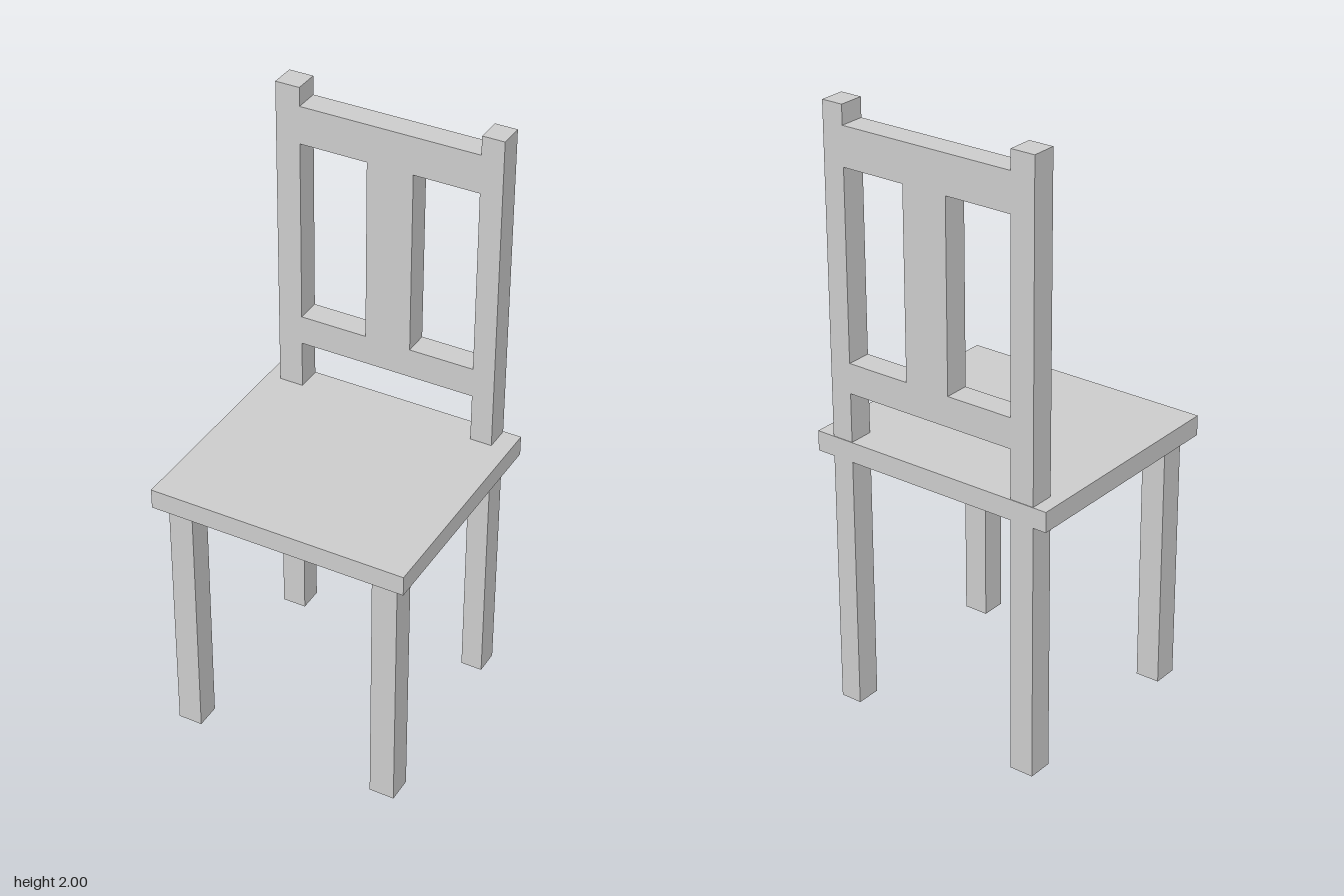
import * as THREE from 'three';

const material = new THREE.MeshStandardMaterial({ color: 0xcccccc, flatShading: true, side: THREE.DoubleSide });

// Box given by its limits on each axis
function box(name, [x0, x1], [y0, y1], [z0, z1], openBottom = false) {
  const geometry = new THREE.BoxGeometry(x1 - x0, y1 - y0, z1 - z0);
  geometry.translate((x0 + x1) / 2, (y0 + y1) / 2, (z0 + z1) / 2);
  if (openBottom) {
    // Drop the two triangles of the -y face
    const index = Array.from(geometry.index.array);
    index.splice(18, 6);
    geometry.setIndex(index);
    geometry.clearGroups();
  }
  const mesh = new THREE.Mesh(geometry, material);
  mesh.name = name;
  return mesh;
}

const points = (list) => list.map(([x, y]) => new THREE.Vector2(x, y));

export function createModel() {
  const chair = new THREE.Group();
  chair.name = 'chair';

  const seatBottom = 0.86, seatTop = 0.927;
  const backZ = [-0.392, -0.308], frontZ = [0.282, 0.367];
  const rightPost = [-0.385, -0.303], leftPost = [0.298, 0.371];

  chair.add(box('seat', [-0.432, 0.432], [seatBottom, seatTop], [-0.394, 0.394]));

  // Four hollow legs, the rear pair in line with the back posts
  const legs = [
    ['frontRightLeg', [-0.388, -0.306], frontZ],
    ['frontLeftLeg', [0.314, 0.398], frontZ],
    ['backRightLeg', rightPost, backZ],
    ['backLeftLeg', leftPost, backZ],
  ];
  for (const [name, x, z] of legs) chair.add(box(name, x, [0, seatBottom], z, true));

  // Backrest: posts, two rails and a centre slat cut from one board
  const [r0, r1] = rightPost, [l0, l1] = leftPost;
  const railLow = 1.09, openingLow = 1.19, openingHigh = 1.81, railHigh = 1.937;
  const outline = new THREE.Shape(points([
    [r0, seatTop], [r1, seatTop], [r1, railLow], [l0, railLow], [l0, seatTop], [l1, seatTop],
    [l1, 2], [l0, 2], [l0, railHigh], [r1, railHigh], [r1, 2], [r0, 2],
  ]));
  for (const [x0, x1] of [[r1, -0.075], [0.08, l0]]) {
    outline.holes.push(new THREE.Path(points([
      [x0, openingLow], [x0, openingHigh], [x1, openingHigh], [x1, openingLow],
    ])));
  }
  // Keep the openings a hair clear of the outline's inner corners
  const geometry = new THREE.ExtrudeGeometry(outline, { depth: backZ[1] - backZ[0], bevelEnabled: false });
  geometry.translate(0, 0, backZ[0]);
  const backrest = new THREE.Mesh(geometry, material);
  backrest.name = 'backrest';
  chair.add(backrest);

  return chair;
}
